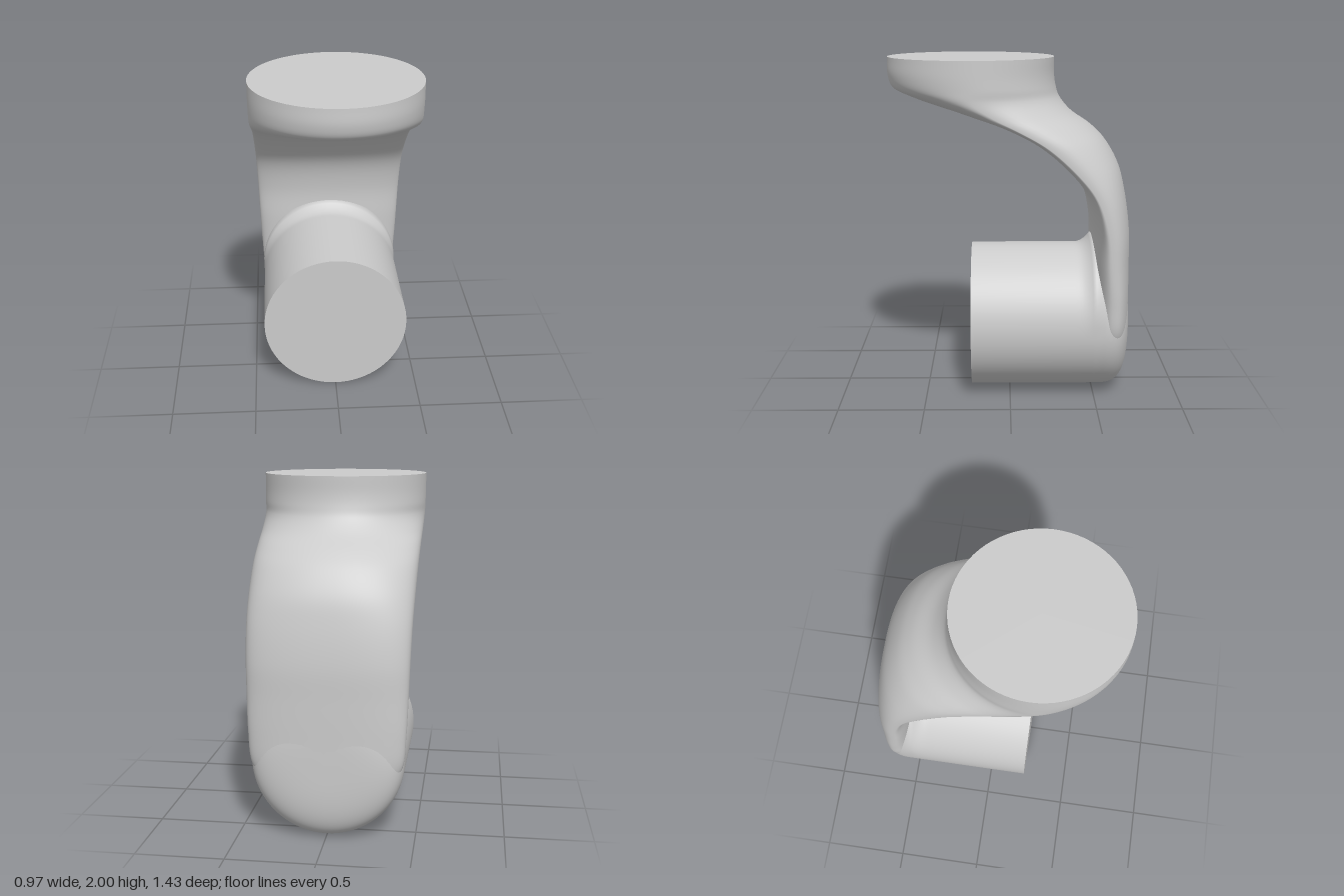
import * as THREE from 'three';

const material = new THREE.MeshStandardMaterial({ color: 0xcccccc, side: THREE.DoubleSide });

// Closed loops of points, row after row, joined into one smooth skin
function loft(name, rows, cols, point) {
  const positions = [], index = [];
  for (let i = 0; i <= rows; i++) {
    for (let j = 0; j < cols; j++) {
      positions.push(...point(i / rows, (j / cols) * Math.PI * 2));
      if (i === rows) continue;
      const a = i * cols + j, b = i * cols + ((j + 1) % cols);
      index.push(a, b, a + cols, b, b + cols, a + cols);
    }
  }
  const geometry = new THREE.BufferGeometry();
  geometry.setAttribute('position', new THREE.Float32BufferAttribute(positions, 3));
  geometry.setIndex(index);
  geometry.computeVertexNormals();
  const mesh = new THREE.Mesh(geometry, material);
  mesh.name = name;
  return mesh;
}

function disc(name, radius) {
  const mesh = new THREE.Mesh(new THREE.CircleGeometry(radius, 72), material);
  mesh.name = name;
  return mesh;
}

const power = (v, e) => Math.sign(v) * Math.pow(Math.abs(v), e);

// Arm sections: inner z, inner y, outer z, outer y, half width, widest place from inner to outer
const SECTIONS = [
  [0.715, 2.0, -0.26, 2.0, 0.487, 0.5],
  [0.715, 1.9, -0.26, 1.9, 0.487, 0.5],
  [0.69, 1.83, -0.27, 1.83, 0.486, 0.49],
  [0.59, 1.78, -0.29, 1.77, 0.484, 0.42],
  [0.3, 1.69, -0.36, 1.685, 0.481, 0.3],
  [0.05, 1.61, -0.48, 1.6, 0.478, 0.2],
  [-0.15, 1.51, -0.56, 1.52, 0.475, 0.17],
  [-0.33, 1.36, -0.64, 1.38, 0.47, 0.17],
  [-0.44, 1.22, -0.68, 1.22, 0.465, 0.22],
  [-0.49, 1.02, -0.708, 1.0, 0.459, 0.32],
  [-0.49, 0.8, -0.71, 0.8, 0.453, 0.42],
  [-0.49, 0.6, -0.71, 0.6, 0.445, 0.5],
  [-0.49, 0.42, -0.707, 0.42, 0.427, 0.5],
  [-0.49, 0.3, -0.69, 0.3, 0.36, 0.5],
];

function makeArm() {
  const inner = new THREE.CatmullRomCurve3(SECTIONS.map((s) => new THREE.Vector3(s[5], s[1], s[0])));
  const outer = new THREE.CatmullRomCurve3(SECTIONS.map((s) => new THREE.Vector3(s[4], s[3], s[2])));
  return loft('curvedArm', 78, 72, (t, angle) => {
    const a = inner.getPoint(t), b = outer.getPoint(t);
    const n = 2 + 0.4 * THREE.MathUtils.smoothstep(t, 0.2, 0.7);
    const c = power(Math.cos(angle), 2 / n), s = power(Math.sin(angle), 2 / n);
    const f = a.x + c * (c > 0 ? 1 - a.x : a.x);
    return [b.x * s, a.y + f * (b.y - a.y), a.z + f * (b.z - a.z)];
  });
}

// Horizontal barrel: straight wall, rounded back, fillet swelling into the arm at the top
const RADIUS = 0.435;

function makeBarrel() {
  return loft('barrel', 60, 72, (t, angle) => {
    let z, r = RADIUS;
    if (t < 0.6) {
      z = 0.23 - (t / 0.6) * 0.73;
    } else {
      const q = ((t - 0.6) / 0.4) * Math.PI / 2;
      z = -0.5 - 0.21 * power(Math.sin(q), 2 / 3.6);
      r *= power(Math.max(0, Math.cos(q)), 2 / 3.6);
    }
    const rise = THREE.MathUtils.clamp((-0.4 - z) / 0.1, 0, 1);
    const fall = 1 - THREE.MathUtils.smoothstep(-z, 0.5, 0.6);
    r += 0.07 * rise * rise * fall * Math.pow(Math.max(0, Math.cos(angle)), 1.2);
    return [r * Math.sin(angle), RADIUS + r * Math.cos(angle), z];
  });
}

export function createModel() {
  const group = new THREE.Group();
  group.name = 'elbowLink';

  const topFace = disc('topFace', 0.487);
  topFace.scale.y = 0.4875 / 0.487;
  topFace.rotation.x = -Math.PI / 2;
  topFace.position.set(0, 2, 0.2275);

  const frontFace = disc('frontFace', RADIUS);
  frontFace.position.set(0, RADIUS, 0.23);

  group.add(makeArm(), makeBarrel(), topFace, frontFace);
  return group;
}
